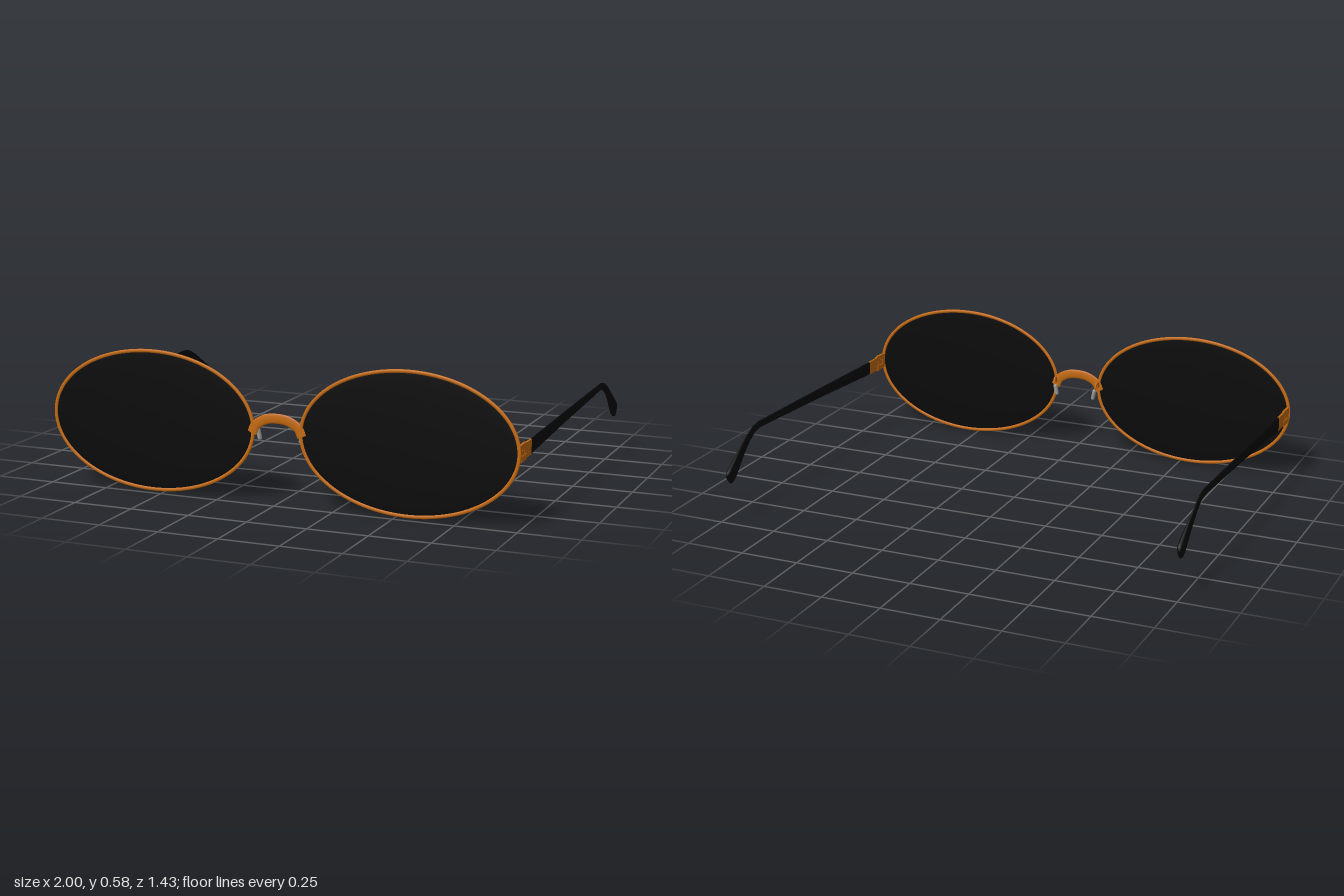
import * as THREE from 'three';

const FRONT_Z = 0.715;
const mats = {
  metal: new THREE.MeshStandardMaterial({ color: 0xc46a10 }),
  dark: new THREE.MeshStandardMaterial({ color: 0x080808 }),
  pad: new THREE.MeshStandardMaterial({ color: 0x999999 }),
};
const V = (x, y, z) => new THREE.Vector3(x, y, z);

function add(parent, name, geometry, material, x = 0, y = 0, z = 0) {
  const mesh = new THREE.Mesh(geometry, material);
  mesh.name = name;
  mesh.position.set(x, y, z);
  parent.add(mesh);
  return mesh;
}

// Tube flattened along z
function flatTube(points, radius, depth, segments, closed = false) {
  const curve = new THREE.CatmullRomCurve3(points, closed);
  return new THREE.TubeGeometry(curve, segments, radius, 10, closed).scale(1, 1, depth);
}

// Temple arm swept through oval sections: [z, y, half height, half width, x, tilt]
function templeGeometry(sections) {
  const sides = 16, pos = [], index = [];
  for (const [z, y, h, w, x, tilt] of sections) {
    for (let j = 0; j < sides; j++) {
      const a = (j / sides) * Math.PI * 2;
      const u = Math.sign(Math.cos(a)) * Math.sqrt(Math.abs(Math.cos(a))) * w;
      const v = Math.sign(Math.sin(a)) * Math.sqrt(Math.abs(Math.sin(a))) * h;
      pos.push(x + u, y + v * Math.cos(tilt), z - v * Math.sin(tilt));
    }
  }
  const last = sections.length - 1;
  for (let i = 0; i < last; i++) {
    for (let j = 0; j < sides; j++) {
      const k = (j + 1) % sides, a = i * sides, b = a + sides;
      index.push(a + j, a + k, b + j, a + k, b + k, b + j);
    }
  }
  // End caps
  for (let j = 1; j < sides - 1; j++) {
    index.push(0, j + 1, j);
    index.push(last * sides, last * sides + j, last * sides + j + 1);
  }
  // Reversed so that the faces point outward along -z sweep
  for (let i = 0; i < index.length; i += 3) {
    [index[i + 1], index[i + 2]] = [index[i + 2], index[i + 1]];
  }
  const g = new THREE.BufferGeometry();
  g.setAttribute('position', new THREE.Float32BufferAttribute(pos, 3));
  g.setIndex(index);
  g.computeVertexNormals();
  return g;
}

const TEMPLE = [
  [0.57, 0.291, 0.030, 0.004, 0.990, 0],
  [0.10, 0.312, 0.022, 0.004, 0.990, 0],
  [-0.38, 0.330, 0.015, 0.004, 0.990, 0],
  [-0.43, 0.332, 0.015, 0.004, 0.990, 0.1],
  [-0.48, 0.323, 0.016, 0.004, 0.990, 0.35],
  [-0.53, 0.297, 0.019, 0.004, 0.990, 0.55],
  [-0.58, 0.262, 0.023, 0.005, 0.989, 0.62],
  [-0.63, 0.225, 0.027, 0.009, 0.987, 0.62],
  [-0.67, 0.194, 0.031, 0.011, 0.986, 0.62],
  [-0.69, 0.179, 0.031, 0.010, 0.986, 0.62],
  [-0.70, 0.171, 0.024, 0.006, 0.987, 0.62],
];

function buildSide(s, name) {
  const side = new THREE.Group();
  side.name = name;

  // Oval rim and shallow domed lens
  const ring = [];
  for (let i = 0; i < 32; i++) {
    const a = (i / 32) * Math.PI * 2;
    ring.push(V(0.445 * Math.cos(a), 0.284 * Math.sin(a), 0));
  }
  add(side, 'rim', flatTube(ring, 0.0075, 0.6, 128, true), mats.metal, s * 0.5475, 0.2915, FRONT_Z);
  const lens = new THREE.SphereGeometry(1, 64, 24).rotateX(Math.PI / 2).scale(0.443, 0.282, 0.003);
  add(side, 'lens', lens, mats.dark, s * 0.5475, 0.2915, FRONT_Z);

  // Hinge: forked lug on the rim, tongue and plate on the temple
  const hinge = new THREE.Group();
  hinge.name = 'hinge';
  side.add(hinge);
  const x = s * 0.99;
  const block = (n, w, h, d, y, z) => add(hinge, n, new THREE.BoxGeometry(w, h, d), mats.metal, x, y, z);
  block('lug', 0.009, 0.066, 0.022, 0.290, 0.704);
  for (const y of [0.268, 0.314]) block('prong', 0.010, 0.022, 0.062, y, 0.666);
  block('tongue', 0.007, 0.020, 0.066, 0.291, 0.664);
  block('templePlate', 0.008, 0.060, 0.073, 0.291, 0.601);
  add(hinge, 'pin', new THREE.CylinderGeometry(0.005, 0.005, 0.074, 12), mats.metal, x, 0.291, 0.655);

  // Temple with bent, thickened tip
  const sections = TEMPLE.map(([z, y, h, w, tx, t]) => [z, y, h, w, tx, t]);
  const temple = templeGeometry(sections);
  if (s < 0) temple.rotateZ(0).translate(0, 0, 0);
  const mirror = new THREE.Group();
  mirror.name = 'templeArm';
  mirror.scale.x = s;
  side.add(mirror);
  add(mirror, 'temple', temple, mats.dark);

  // Nose pad on a curved wire
  const wire = new THREE.CatmullRomCurve3([
    V(s * 0.103, 0.295, FRONT_Z), V(s * 0.103, 0.318, 0.702),
    V(s * 0.102, 0.322, 0.690), V(s * 0.100, 0.300, 0.681), V(s * 0.094, 0.272, 0.682),
  ]);
  add(side, 'padWire', new THREE.TubeGeometry(wire, 24, 0.005, 8), mats.metal);
  const pad = new THREE.CapsuleGeometry(0.011, 0.032, 6, 14).scale(0.8, 1, 1);
  add(side, 'nosePad', pad, mats.pad, s * 0.092, 0.270, 0.682).rotation.z = s * -0.2;
  return side;
}

export function createModel() {
  const model = new THREE.Group();
  model.name = 'glasses';
  model.add(buildSide(1, 'leftSide'), buildSide(-1, 'rightSide'));

  // Arched bridge
  const arch = [
    V(-0.107, 0.280, 0), V(-0.092, 0.312, 0), V(-0.05, 0.338, 0), V(0, 0.345, 0),
    V(0.05, 0.338, 0), V(0.092, 0.312, 0), V(0.107, 0.280, 0),
  ];
  add(model, 'bridge', flatTube(arch, 0.021, 0.22, 40), mats.metal, 0, 0, FRONT_Z);
  return model;
}
